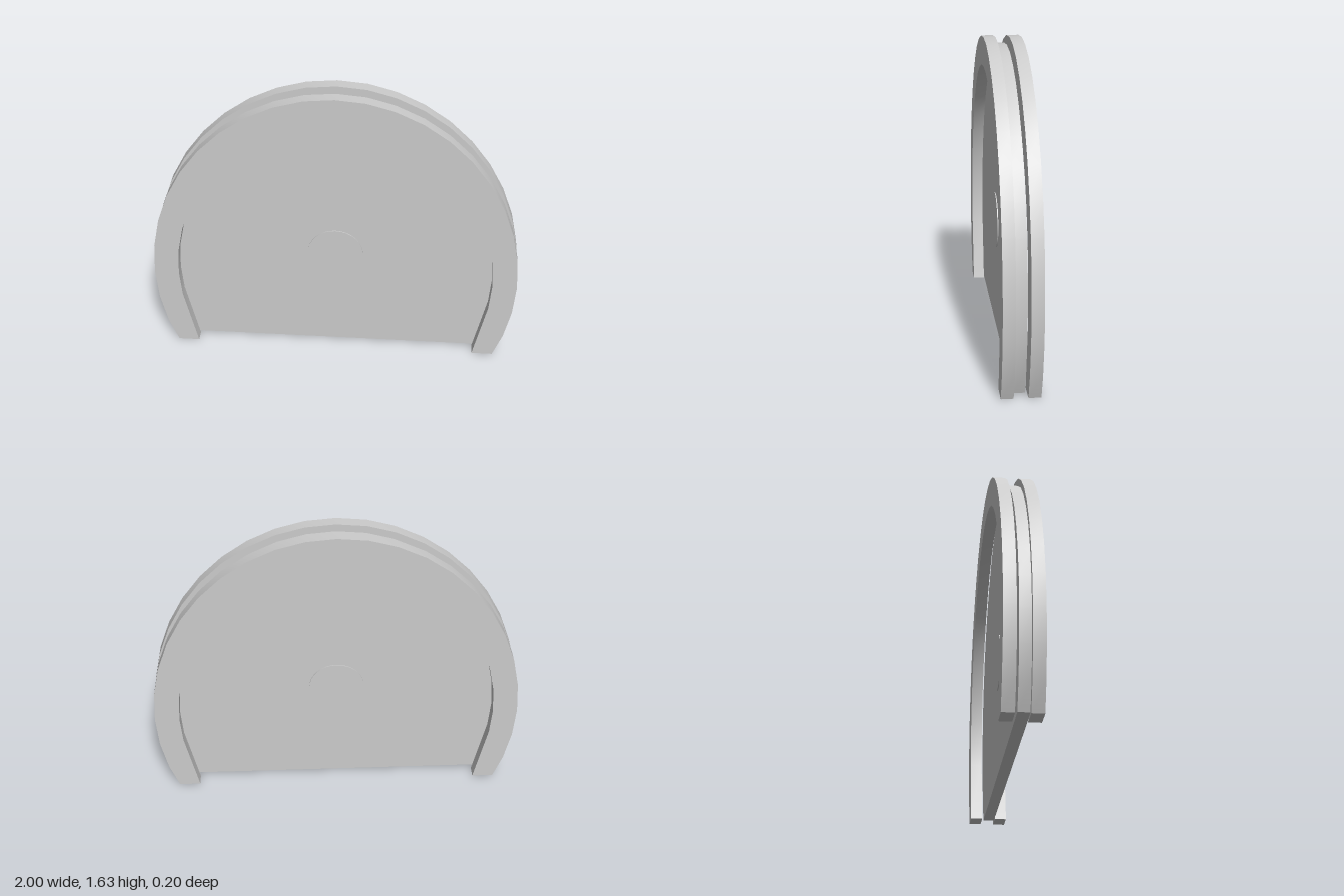
import * as THREE from 'three';
import { toCreasedNormals } from 'three/addons/utils/BufferGeometryUtils.js';

const CENTRE_Y = 0.49;
const STEP = Math.PI / 20;

// Points of an elliptical arch, from the lower right over the top to the lower left.
// foot = [x, y] of the cut-off end, drop = number of steps carried below the widest point.
function arch(rx, ry, foot, drop) {
  const points = [new THREE.Vector2(foot[0], foot[1])];
  for (let i = -drop; i <= 20 + drop; i++) {
    points.push(new THREE.Vector2(rx * Math.cos(i * STEP), CENTRE_Y + ry * Math.sin(i * STEP)));
  }
  points.push(new THREE.Vector2(-foot[0], foot[1]));
  return points;
}

export function createModel() {
  const group = new THREE.Group();
  const material = new THREE.MeshStandardMaterial({ color: 0xcccccc });

  function slab(name, points, z0, z1) {
    const geometry = new THREE.ExtrudeGeometry(new THREE.Shape(points), {
      depth: z1 - z0, bevelEnabled: false, steps: 1,
    });
    geometry.translate(0, 0, z0);
    const mesh = new THREE.Mesh(toCreasedNormals(geometry, 0.5), material);
    mesh.name = name;
    group.add(mesh);
  }

  // Two matching horseshoe rims, separated by a groove
  const rim = [
    ...arch(1, 1.14, [0.9, 0], 2),
    ...arch(0.866, 0.985, [0.785, 0], 1).reverse(),
  ];
  slab('frontRim', rim, 0.037, 0.1);
  slab('backRim', rim, -0.1, -0.036);

  // Solid panel between the rims
  slab('panel', arch(0.967, 1.1, [0.87, 0.015], 2), -0.022, 0.038);

  // Thin round boss showing on both faces of the panel
  const boss = new THREE.Mesh(new THREE.CylinderGeometry(0.15, 0.15, 0.07, 32), material);
  boss.name = 'centreBoss';
  boss.rotation.x = Math.PI / 2;
  boss.position.set(0, 0.63, 0.008);
  group.add(boss);

  return group;
}
